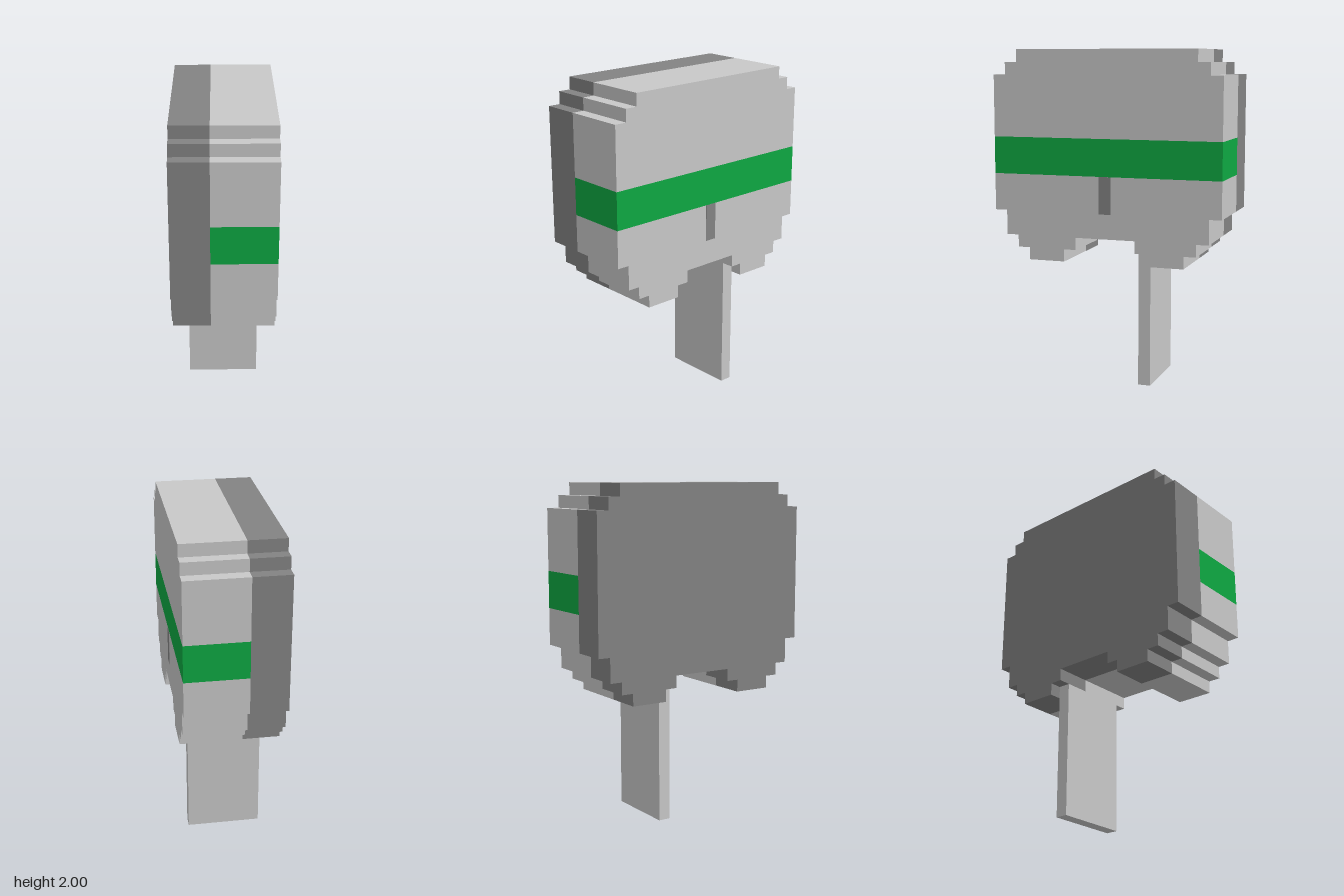
import * as THREE from 'three';

const U = 2 / 27; // grid unit: the model is 27 units tall

const material = (name, color) => {
  const m = new THREE.MeshStandardMaterial({ color });
  m.name = name;
  return m;
};

// Right half of the stepped outlines, [z, y] in units; mirrored to close the shape
const LOWER = [[2.5, 12], [2.5, 11], [3.5, 11], [3.5, 10], [6.5, 10], [6.5, 11],
  [7.5, 11], [7.5, 12], [8.5, 12], [8.5, 14], [9.5, 14]];
const UPPER = [[9.5, 25], [8.5, 25], [8.5, 26], [7.5, 26], [7.5, 27]];

export function createModel() {
  const group = new THREE.Group();
  const lightGray = material('light gray', 0xc8c8c8);
  const darkGray = material('dark gray', 0x838383);
  const green = material('green', 0x0ea842);

  // Mirrored outline extruded along x from x0 to x1
  const slab = (name, half, x0, x1, mat) => {
    const mirrored = half.map(([z, y]) => [-z, y]).reverse();
    const points = [...half, ...mirrored].map(([z, y]) => new THREE.Vector2(z * U, y * U));
    const geo = new THREE.ExtrudeGeometry(new THREE.Shape(points), {
      depth: (x1 - x0) * U, bevelEnabled: false,
    });
    geo.rotateY(Math.PI / 2).translate(x0 * U, 0, 0);
    const mesh = new THREE.Mesh(geo, mat);
    mesh.name = name;
    group.add(mesh);
  };

  // Box given by its min and max corners in units
  const box = (name, a, b, mat) => {
    const [w, h, d] = a.map((v, i) => (b[i] - v) * U);
    const mesh = new THREE.Mesh(new THREE.BoxGeometry(w, h, d), mat);
    mesh.position.set(...a.map((v, i) => ((v + b[i]) / 2) * U));
    mesh.name = name;
    group.add(mesh);
  };

  // Dark backing layer, full outline
  slab('backing', [...LOWER, ...UPPER], -4, -1, darkGray);

  // Light shell above and below the band
  slab('lowerShell', [...LOWER, [9.5, 17]], -1, 4, lightGray);
  slab('upperShell', [[9.5, 20], ...UPPER], -1, 4, lightGray);

  // Green band around the shell
  box('band', [-1, 17, -9.5], [4, 20, 9.5], green);

  // Thin painted slot below the band
  box('slot', [3.98, 14, -0.5], [4.02, 17, 0.5], darkGray);

  // Flat post under the body
  box('post', [-3, 0, -3.5], [3, 11, -2.5], lightGray);

  return group;
}
